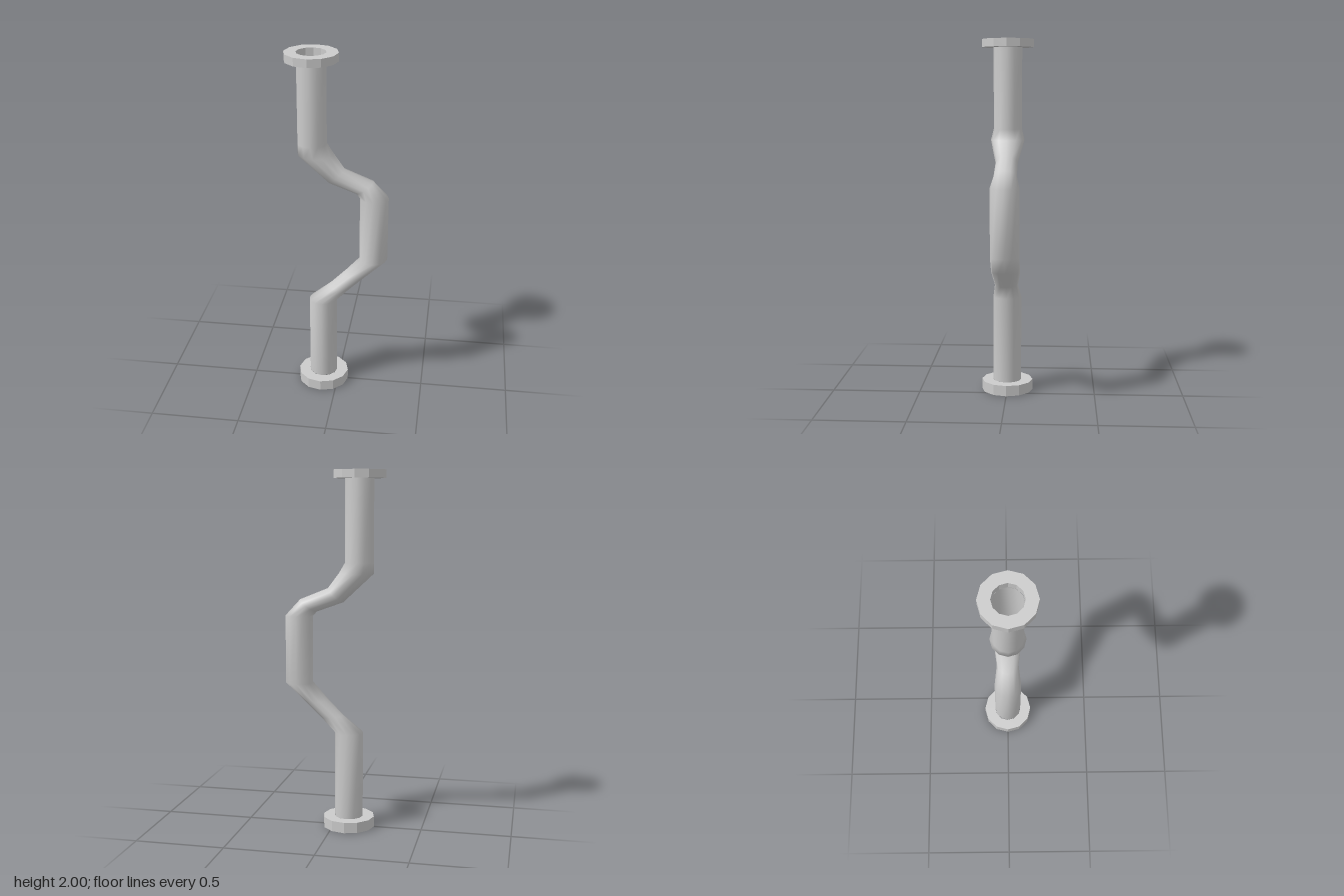
import * as THREE from 'three';

const SIDES = 12;

// Pipe cross-sections, bottom to top: [left x, left y, right x, right y, half depth]
const RINGS = [
  [-0.165, 0.06, -0.005, 0.06, 0.08],
  [-0.165, 0.545, -0.005, 0.548, 0.08],
  [-0.05, 0.64, 0.075, 0.63, 0.065],
  [0.037, 0.725, 0.17, 0.725, 0.08],
  [0.122, 0.82, 0.28, 0.825, 0.08],
  [0.122, 1.2, 0.28, 1.2, 0.08],
  [0.1, 1.225, 0.195, 1.292, 0.063],
  [-0.05, 1.28, 0.037, 1.357, 0.062],
  [-0.22, 1.44, -0.025, 1.44, 0.095],
  [-0.22, 1.5, -0.06, 1.5, 0.08],
  [-0.22, 1.955, -0.06, 1.955, 0.08],
];

// Skin joining neighbouring cross-sections
function pipeGeometry(rings) {
  const positions = [];
  const index = [];
  rings.forEach(([lx, ly, rx, ry, depth], r) => {
    for (let i = 0; i < SIDES; i++) {
      const a = (i / SIDES) * Math.PI * 2;
      const t = (1 + Math.cos(a)) / 2;
      positions.push(lx + (rx - lx) * t, ly + (ry - ly) * t, Math.sin(a) * depth);
      if (r === 0) continue;
      const j = (i + 1) % SIDES;
      const lo = (r - 1) * SIDES;
      const hi = r * SIDES;
      index.push(lo + i, hi + i, lo + j, hi + i, hi + j, lo + j);
    }
  });
  const geometry = new THREE.BufferGeometry();
  geometry.setAttribute('position', new THREE.Float32BufferAttribute(positions, 3));
  geometry.setIndex(index);
  geometry.computeVertexNormals();
  return geometry;
}

// Flat ring with a hole matching the pipe bore
function flange(name, x, y0, y1, material) {
  const inner = 0.081, outer = 0.145;
  const profile = [[inner, y0], [outer, y0], [outer, y1], [inner, y1], [inner, y0]]
    .map(([r, y]) => new THREE.Vector2(r, y));
  const mesh = new THREE.Mesh(new THREE.LatheGeometry(profile, SIDES), material);
  mesh.name = name;
  mesh.position.x = x;
  return mesh;
}

export function createModel() {
  const group = new THREE.Group();
  group.name = 'bentPipe';

  const smooth = new THREE.MeshStandardMaterial({ color: 0xcccccc, side: THREE.DoubleSide });
  const flat = new THREE.MeshStandardMaterial({
    color: 0xcccccc, flatShading: true, side: THREE.DoubleSide,
  });

  const pipe = new THREE.Mesh(pipeGeometry(RINGS), smooth);
  pipe.name = 'pipe';

  group.add(
    pipe,
    flange('bottomFlange', -0.085, 0, 0.06, flat),
    flange('topFlange', -0.14, 1.955, 2, flat),
  );
  return group;
}
